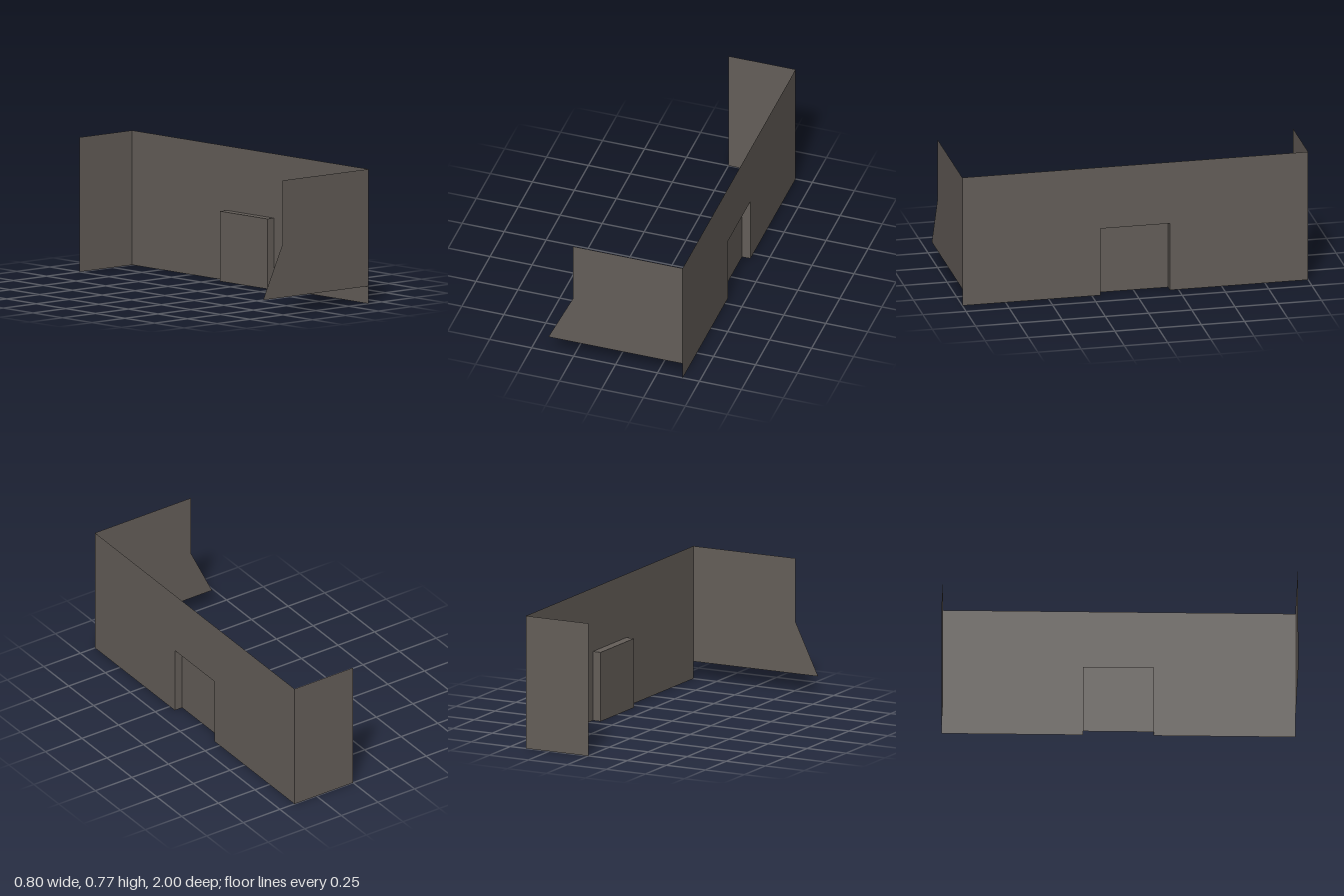
import * as THREE from 'three';

const H = 0.768;      // wall height
const WALL_X = 0.4;   // plane of the long wall
const DOOR_X = 0.35;  // plane of the recessed door
const DOOR_W = 0.4, DOOR_H = 0.4;

export function createModel() {
  const group = new THREE.Group();
  group.name = 'thinWalls';
  const stone = new THREE.MeshStandardMaterial({ color: 0x645e59, side: THREE.DoubleSide, flatShading: true });
  stone.name = 'warm grey stone';

  const add = (name, geometry, x, y, z) => {
    const mesh = new THREE.Mesh(geometry, stone);
    mesh.name = name;
    mesh.position.set(x, y, z);
    group.add(mesh);
    return mesh;
  };
  // Flat sheet from an outline of [across, up] points
  const sheet = (points) =>
    new THREE.ShapeGeometry(new THREE.Shape(points.map(([a, b]) => new THREE.Vector2(a, b))));

  // Long wall with a doorway cut from its lower edge
  const d = DOOR_W / 2;
  add('longWall', sheet([
    [-1, 0], [-d, 0], [-d, DOOR_H], [d, DOOR_H], [d, 0], [1, 0], [1, H], [-1, H],
  ]).rotateY(Math.PI / 2), WALL_X, 0, 0);

  // Front wing: raised lower edge and slanted foot
  add('frontWing', sheet([
    [-0.4, 0.1], [WALL_X, 0.1], [WALL_X, H], [-0.255, H], [-0.255, 0.4],
  ]), 0, 0, 1);

  // Short back wing
  add('backWing', sheet([[0, 0], [WALL_X, 0], [WALL_X, H], [0, H]]), 0, 0, -1);

  // Recessed doorway: door, two jambs and lintel, open below
  const depth = WALL_X - DOOR_X, midX = (WALL_X + DOOR_X) / 2;
  add('door', new THREE.PlaneGeometry(DOOR_W, DOOR_H).rotateY(Math.PI / 2), DOOR_X, DOOR_H / 2, 0);
  for (const s of [1, -1]) {
    add(s > 0 ? 'frontJamb' : 'backJamb', new THREE.PlaneGeometry(depth, DOOR_H), midX, DOOR_H / 2, s * d);
  }
  add('lintel', new THREE.PlaneGeometry(depth, DOOR_W).rotateX(-Math.PI / 2), midX, DOOR_H, 0);

  return group;
}
